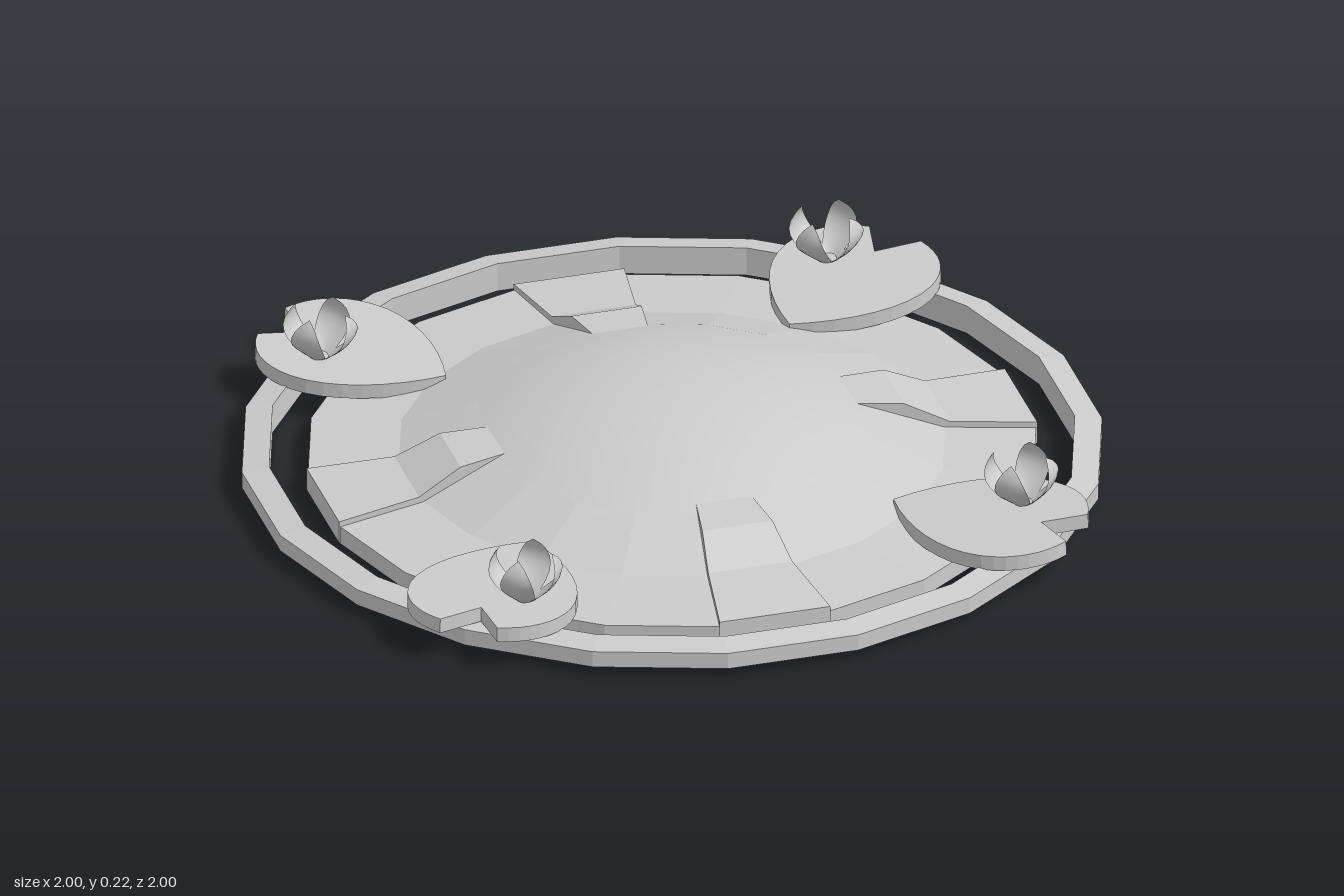
import * as THREE from 'three';

const SIDES = 20;
const flat = new THREE.MeshStandardMaterial({ color: 0xcccccc, flatShading: true });
const smooth = new THREE.MeshStandardMaterial({ color: 0xcccccc });
const thin = new THREE.MeshStandardMaterial({ color: 0xcccccc, side: THREE.DoubleSide });

function add(parent, name, geometry, material) {
  const mesh = new THREE.Mesh(geometry, material);
  mesh.name = name;
  parent.add(mesh);
  return mesh;
}

const lathe = (pts) =>
  new THREE.LatheGeometry(pts.map(([r, y]) => new THREE.Vector2(r, y)), SIDES);

// Path wedge: profile extruded, then narrowed toward the centre
function wedgeGeometry() {
  const profile = [[0.4, 0.01], [0.803, 0.005], [0.803, 0.058], [0.61, 0.074], [0.51, 0.125], [0.4, 0.134]];
  const k = Math.cos(Math.PI / SIDES);
  const shape = new THREE.Shape(profile.map(([r, y]) => new THREE.Vector2(r * k, y)));
  const geo = new THREE.ExtrudeGeometry(shape, { depth: 1, bevelEnabled: false });
  const p = geo.attributes.position;
  for (let i = 0; i < p.count; i++) {
    p.setZ(i, (p.getZ(i) - 0.5) * 2 * Math.tan(Math.PI / SIDES) * p.getX(i));
  }
  geo.computeVertexNormals();
  return geo;
}

// Heart-shaped leaf with the notch facing outward
function padGeometry() {
  const s = new THREE.Shape();
  s.moveTo(-0.225, 0);
  s.bezierCurveTo(-0.15, -0.11, -0.04, -0.19, 0.06, -0.185);
  s.bezierCurveTo(0.14, -0.18, 0.19, -0.13, 0.208, -0.065);
  s.lineTo(0.125, 0);
  s.lineTo(0.211, 0.065);
  s.bezierCurveTo(0.19, 0.13, 0.14, 0.18, 0.06, 0.185);
  s.bezierCurveTo(-0.04, 0.19, -0.15, 0.11, -0.225, 0);
  const geo = new THREE.ExtrudeGeometry(s, { depth: 0.034, bevelEnabled: false, curveSegments: 8 });
  return geo.rotateX(Math.PI / 2);
}

// Cupped, pointed petal
function petalGeometry() {
  const geo = new THREE.PlaneGeometry(1, 1, 6, 8);
  const p = geo.attributes.position;
  for (let i = 0; i < p.count; i++) {
    const s = p.getX(i) * 2;
    const t = p.getY(i) + 0.5;
    const width = 0.038 * Math.sin(Math.PI * (0.12 + 0.88 * t)) ** 0.75;
    const reach = 0.022 + 0.057 * Math.sin(Math.PI * 0.78 * t);
    p.setXYZ(i, s * width || 0, 0.118 * t, reach - 0.012 * s * s * (1 - t));
  }
  geo.computeVertexNormals();
  return geo;
}

export function createModel() {
  const model = new THREE.Group();
  const body = new THREE.Group();
  body.name = 'pond';
  body.position.z = -0.005;
  model.add(body);

  // Sloping base
  add(body, 'base', lathe([[0, 0.003], [0.8, 0.003], [0.8, 0.045], [0.6, 0.06], [0.455, 0.115], [0.43, 0.124], [0, 0.124]]), flat);

  // Shallow dome of water
  const domePoints = [];
  for (let i = 0; i <= 8; i++) {
    const r = 0.432 * (1 - i / 8);
    domePoints.push([r, 0.212 - r * r / 2.1]);
  }
  add(body, 'dome', lathe(domePoints), smooth);

  // Outer ring
  add(body, 'outerRing', lathe([[0.945, 0.02], [0.945, 0.058], [0.885, 0.068], [0.885, 0], [0.945, 0.02]]), flat);

  // Four paths
  const wedge = wedgeGeometry();
  for (let i = 0; i < 4; i++) {
    add(body, 'path', wedge, flat).rotation.y = Math.PI / 4 + i * Math.PI / 2;
  }

  // Four leaves, each with a flower
  const padGeo = padGeometry();
  const petalGeo = petalGeometry();
  [0.1, -0.06, 0, 0.17].forEach((yaw, i) => {
    const holder = new THREE.Group();
    holder.name = 'lily';
    holder.rotation.y = i * Math.PI / 2;
    body.add(holder);

    const pad = add(holder, 'leaf', padGeo, flat);
    pad.position.set(0.785, 0.095, 0);
    pad.rotation.set(0, yaw, 0.05);

    const flower = new THREE.Group();
    flower.name = 'flower';
    flower.position.set(0.05, 0, -0.075);
    flower.rotation.y = 0.05;
    pad.add(flower);
    for (let k = 0; k < 4; k++) {
      add(flower, 'petal', petalGeo, thin).rotation.y = k * Math.PI / 2;
    }
  });

  return model;
}
